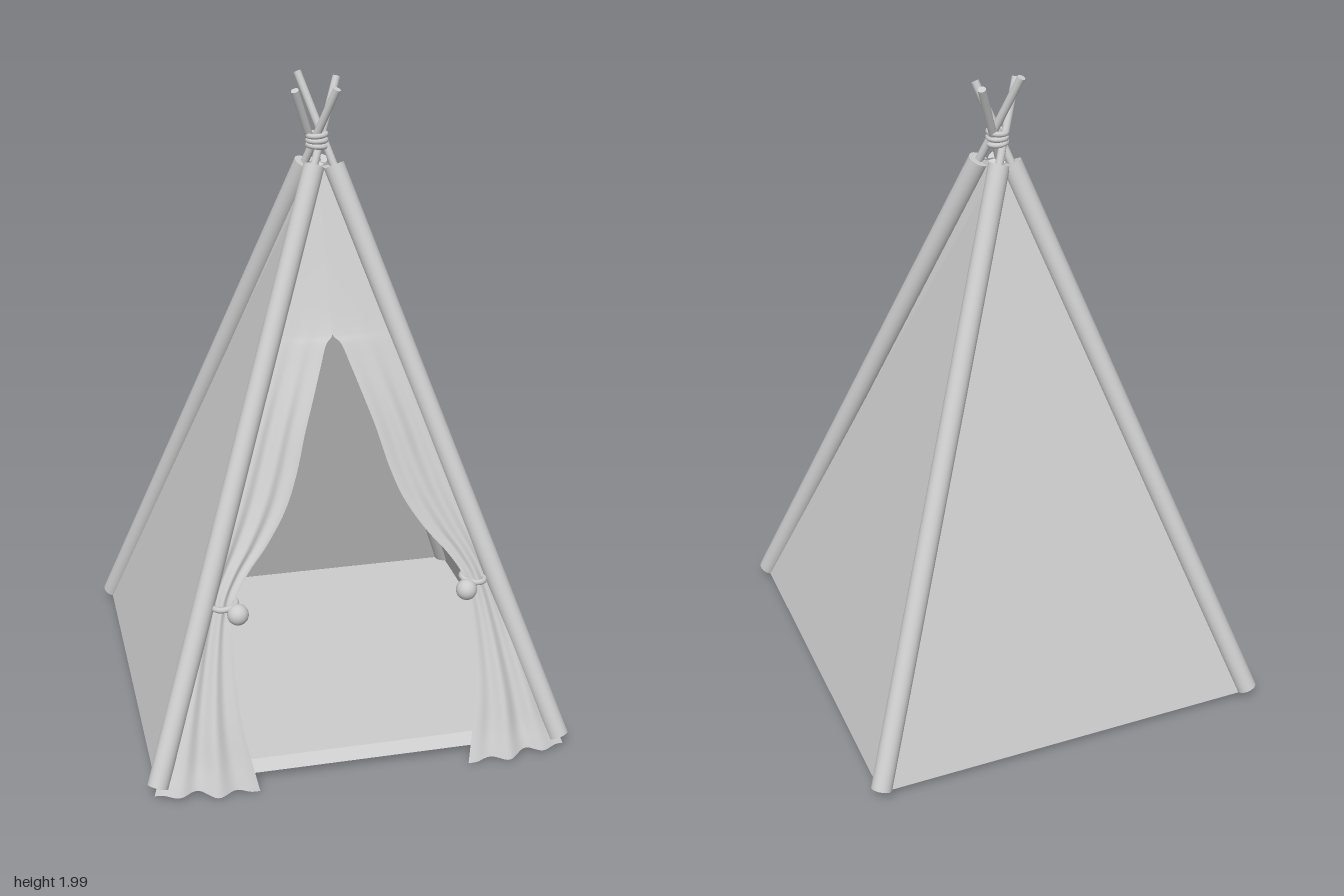
import * as THREE from 'three';

const V = (x, y, z) => new THREE.Vector3(x, y, z);
const grey = new THREE.MeshStandardMaterial({ color: 0xcccccc });
const cloth = new THREE.MeshStandardMaterial({ color: 0xcccccc, side: THREE.DoubleSide });

// Each pole runs from a ground corner through the knot to its tip
const poles = {
  frontLeft: [V(0.62, 0.05, 0.61), V(-0.045, 1.995, -0.09)],
  frontRight: [V(-0.62, 0.05, 0.61), V(0.075, 1.975, -0.09)],
  backLeft: [V(0.62, 0.05, -0.625), V(-0.075, 1.96, 0.02)],
  backRight: [V(-0.62, 0.05, -0.625), V(0.05, 1.96, 0.025)],
};
const TOP = 1.73;
const FLOOR = 0.04;

// Point on a pole axis at height y
function poleAt(name, y) {
  const [a, b] = poles[name];
  return a.clone().lerp(b, (y - a.y) / (b.y - a.y));
}

function add(group, name, geometry, material = grey) {
  const mesh = new THREE.Mesh(geometry, material);
  mesh.name = name;
  group.add(mesh);
  return mesh;
}

function rod(group, name, a, b, radius) {
  const mesh = add(group, name, new THREE.CylinderGeometry(radius, radius, a.distanceTo(b), 20));
  mesh.position.copy(a).add(b).multiplyScalar(0.5);
  mesh.quaternion.setFromUnitVectors(V(0, 1, 0), b.clone().sub(a).normalize());
}

// Flat four-cornered sheet
function sheet(a, b, c, d) {
  const g = new THREE.BufferGeometry().setFromPoints([a, b, c, a, c, d]);
  g.computeVertexNormals();
  return g;
}

// Free edge of a curtain from the peak to the hem: x, y, forward bulge
const edge = new THREE.CatmullRomCurve3([
  [0, 1.73, 0], [0, 1.5, 0.003], [0, 1.32, 0.012], [0.001, 1.262, 0.02], [0.022, 1.24, 0.025],
  [0.045, 1.18, 0.03], [0.077, 1.09, 0.035], [0.108, 1, 0.034], [0.14, 0.89, 0.027],
  [0.18, 0.79, 0.02], [0.245, 0.69, 0.014], [0.305, 0.62, 0.012], [0.345, 0.56, 0.012],
  [0.358, 0.52, 0.012], [0.367, 0.46, 0.014], [0.37, 0.34, 0.018], [0.36, 0.2, 0.022],
  [0.338, 0.09, 0.022], [0.322, 0.015, 0.024],
].map(p => V(...p)));

// Curtain lofted between the free edge and its pole, with soft folds
function curtain(side, pole) {
  const rows = 90, cols = 36, pos = [], index = [];
  for (let r = 0; r <= rows; r++) {
    const e = edge.getPoint(r / rows);
    const outer = poleAt(pole, e.y);
    const midZ = (poleAt('frontLeft', e.y).z + poleAt('frontRight', e.y).z) / 2;
    const flare = THREE.MathUtils.smoothstep(0.5 - e.y, 0, 0.45);
    const drape = THREE.MathUtils.smoothstep(1.35 - e.y, 0, 0.4) * 0.007 * (1 - flare);
    const hem = THREE.MathUtils.smoothstep(0.12 - e.y, 0, 0.11);
    for (let c = 0; c <= cols; c++) {
      const u = c / cols, fade = Math.sin(Math.PI * u);
      const fold = Math.cos(u * Math.PI * 5);
      pos.push(
        THREE.MathUtils.lerp(side * e.x, outer.x, u),
        e.y + hem * (0.012 * u + 0.006 * (1 - fold) * fade),
        THREE.MathUtils.lerp(midZ + e.z, outer.z, u) + fade * (drape * fold + flare * (0.014 + 0.014 * fold)),
      );
      if (r < rows && c < cols) {
        const i = r * (cols + 1) + c, j = i + cols + 1;
        if (side > 0) index.push(i, j, i + 1, i + 1, j, j + 1);
        else index.push(i, i + 1, j, i + 1, j + 1, j);
      }
    }
  }
  const g = new THREE.BufferGeometry();
  g.setAttribute('position', new THREE.Float32BufferAttribute(pos, 3));
  g.setIndex(index);
  g.computeVertexNormals();
  return g;
}

export function createModel() {
  const tent = new THREE.Group();
  tent.name = 'tent';

  // Thin poles, covered by cloth sleeves up to the peak
  for (const [name, [foot, tip]] of Object.entries(poles)) {
    rod(tent, name + 'Pole', foot, tip, 0.012);
    rod(tent, name + 'Sleeve', foot, poleAt(name, TOP), 0.032);
  }

  // Closed walls
  for (const [name, a, b] of [
    ['leftWall', 'frontLeft', 'backLeft'],
    ['backWall', 'backLeft', 'backRight'],
    ['rightWall', 'backRight', 'frontRight'],
  ]) {
    add(tent, name, sheet(poleAt(a, FLOOR), poleAt(b, FLOOR), poleAt(b, TOP), poleAt(a, TOP)), cloth);
  }

  // Ground sheet and raised door sill
  add(tent, 'groundSheet', sheet(
    V(-0.62, FLOOR, 0.59), V(0.62, FLOOR, 0.59), V(0.62, FLOOR, -0.628), V(-0.62, FLOOR, -0.628)), cloth);
  add(tent, 'doorSill', sheet(
    V(-0.61, FLOOR, 0.59), V(0.61, FLOOR, 0.59), V(0.6, 0.068, 0.558), V(-0.6, 0.068, 0.558)), cloth);

  // Curtains, each with a tieback ring and a ball
  for (const [side, label, pole] of [[1, 'left', 'frontLeft'], [-1, 'right', 'frontRight']]) {
    add(tent, label + 'Curtain', curtain(side, pole), cloth);
    const ring = add(tent, label + 'Tieback', new THREE.TorusGeometry(0.035, 0.009, 12, 36));
    ring.position.set(side * 0.383, 0.536, 0.437);
    ring.rotation.set(Math.PI / 2, side * -0.15, 0);
    const ball = add(tent, label + 'TieBall', new THREE.SphereGeometry(0.032, 24, 16));
    ball.position.set(side * 0.35, 0.52, 0.48);
  }

  // Rope wound around the crossing poles
  [1.786, 1.802, 1.818].forEach((y, i) => {
    const rope = add(tent, 'rope', new THREE.TorusGeometry(0.027, 0.008, 10, 32));
    rope.position.set(0, y, -0.022);
    rope.rotation.set(Math.PI / 2, (i - 1) * 0.08, 0);
  });

  return tent;
}
